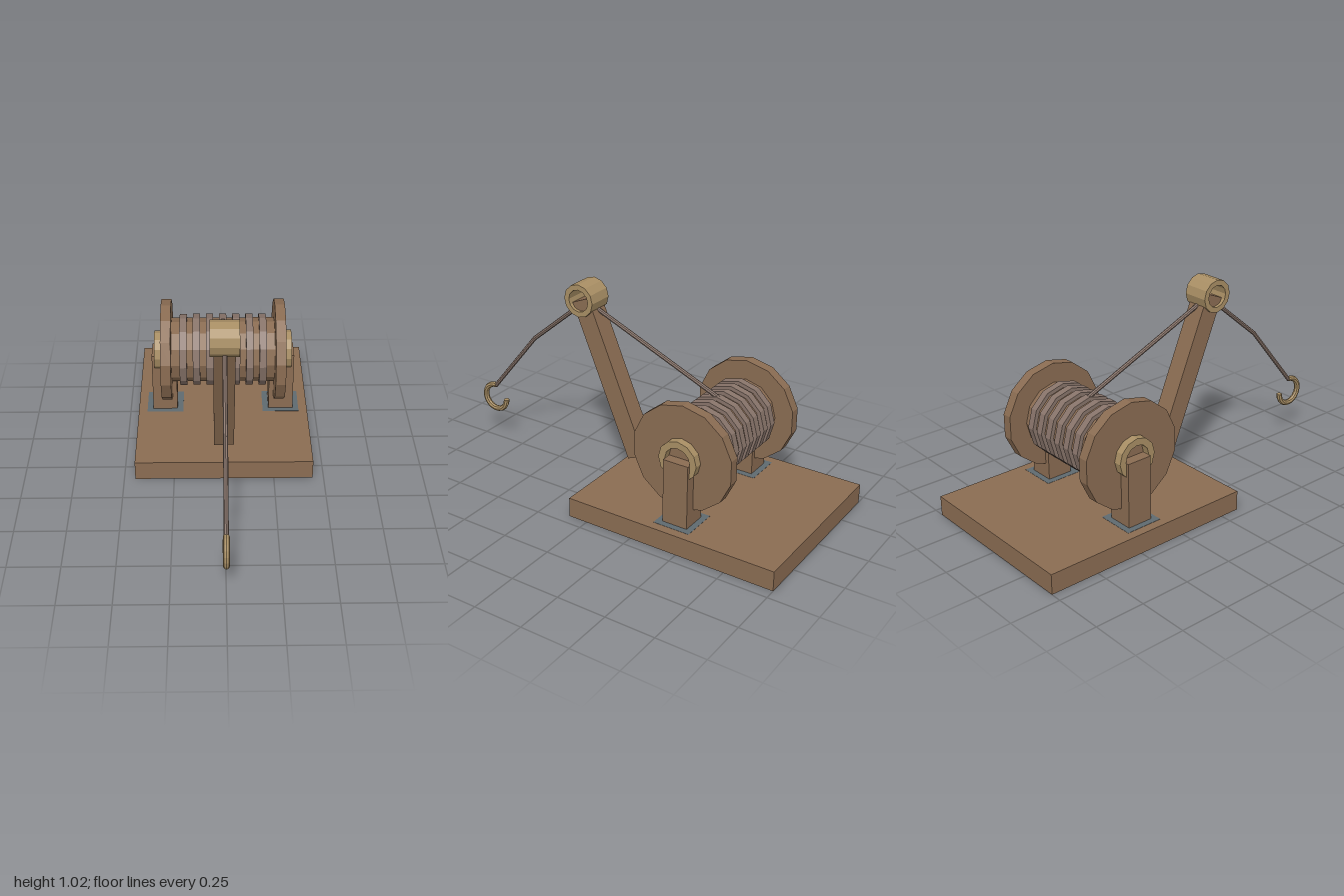
import * as THREE from 'three';

const mat = (color) => new THREE.MeshStandardMaterial({ color, flatShading: true });

export function createModel() {
  const model = new THREE.Group();
  const wood = mat(0x8a6c52), brass = mat(0xa88e64), rope = mat(0x88746a), iron = mat(0x5f6a70);
  const AXLE_Y = 0.4275, AXLE_Z = -0.445;

  const add = (name, geometry, material, x, y, z) => {
    const mesh = new THREE.Mesh(geometry, material);
    mesh.name = name;
    mesh.position.set(x, y, z);
    model.add(mesh);
    return mesh;
  };
  // Solid disc with its axis along x
  const disc = (name, radius, width, sides, material, x, start = 0) => {
    const g = new THREE.CylinderGeometry(radius, radius, width, sides, 1, false, start);
    return add(name, g.rotateZ(Math.PI / 2), material, x, AXLE_Y, AXLE_Z);
  };
  // Hollow ring with its axis along x
  const ring = (name, outer, inner, width, x, y, z) => {
    const h = width / 2;
    const profile = [[outer, -h], [outer, h], [inner, h], [inner, -h], [outer, -h]];
    const g = new THREE.LatheGeometry(profile.map(([r, t]) => new THREE.Vector2(r, t)), 12);
    return add(name, g.rotateZ(Math.PI / 2), brass, x, y, z);
  };

  // Base board
  add('base', new THREE.BoxGeometry(0.89, 0.1, 1.1), wood, 0, 0.05, -0.45);

  // Posts, foot plates, flanges and bushings on both sides
  for (const [side, s] of [['left', 1], ['right', -1]]) {
    const x = s * 0.305;
    add(side + 'Post', new THREE.BoxGeometry(0.128, 0.33, 0.13), wood, x, 0.26, AXLE_Z);
    add(side + 'FootPlate', new THREE.BoxGeometry(0.19, 0.004, 0.19), iron, x, 0.099, AXLE_Z);
    disc(side + 'Flange', 0.2625, 0.052, 14, wood, s * 0.291, Math.PI / 2);
    ring(side + 'Bushing', 0.1, 0.066, 0.1, x, AXLE_Y, AXLE_Z);
  }

  // Drum with wound rope
  disc('drum', 0.165, 0.54, 12, wood, 0);
  for (let i = -3; i <= 3; i++) disc('ropeCoil', 0.185, 0.037, 12, rope, i * 0.068);

  // Leaning arm, ending at the centre of the pulley ring
  const foot = new THREE.Vector3(0, 0.175, -0.0175), head = new THREE.Vector3(0, 0.937, 0.303);
  const mid = foot.clone().add(head).multiplyScalar(0.5);
  const arm = add('arm', new THREE.BoxGeometry(0.1, foot.distanceTo(head), 0.1), wood, 0, mid.y, mid.z);
  arm.rotation.x = Math.atan2(head.z - foot.z, head.y - foot.y);
  ring('pulleyRing', 0.083, 0.056, 0.135, 0, 0.9385, 0.303);

  // Rope from drum over the arm down to the hook
  const path = [[0.602, -0.445], [0.92, 0.303], [0.642, 0.635], [0.305, 0.912]]
    .map(([y, z]) => new THREE.Vector3(0, y, z));
  for (let i = 0; i < path.length - 1; i++) {
    const a = path[i], b = path[i + 1], len = a.distanceTo(b);
    const seg = add('rope', new THREE.CylinderGeometry(0.011, 0.011, len + 0.006, 8), rope,
      0, (a.y + b.y) / 2, (a.z + b.z) / 2);
    seg.rotation.x = Math.atan2(b.z - a.z, b.y - a.y);
  }

  // Open hook with capped ends
  const R = 0.07, tube = 0.015, gap = THREE.MathUtils.degToRad(85);
  const hook = add('hook', new THREE.TorusGeometry(R, tube, 8, 14, Math.PI * 2 - gap), brass, 0, 0.238, 0.915);
  hook.rotation.set(0, Math.PI / 2, gap);
  for (const [angle, turn] of [[0, Math.PI / 2], [Math.PI * 2 - gap, -Math.PI / 2]]) {
    const cap = new THREE.Mesh(new THREE.CircleGeometry(tube, 8), brass);
    cap.name = 'hookEnd';
    cap.position.set(R * Math.cos(angle), R * Math.sin(angle), 0);
    cap.rotation.set(0, turn, 0);
    // Face along the tangent, out of the tube
    const t = new THREE.Vector3(-Math.sin(angle), Math.cos(angle), 0).multiplyScalar(turn > 0 ? -1 : 1);
    cap.quaternion.setFromUnitVectors(new THREE.Vector3(0, 0, 1), t);
    hook.add(cap);
  }

  return model;
}
